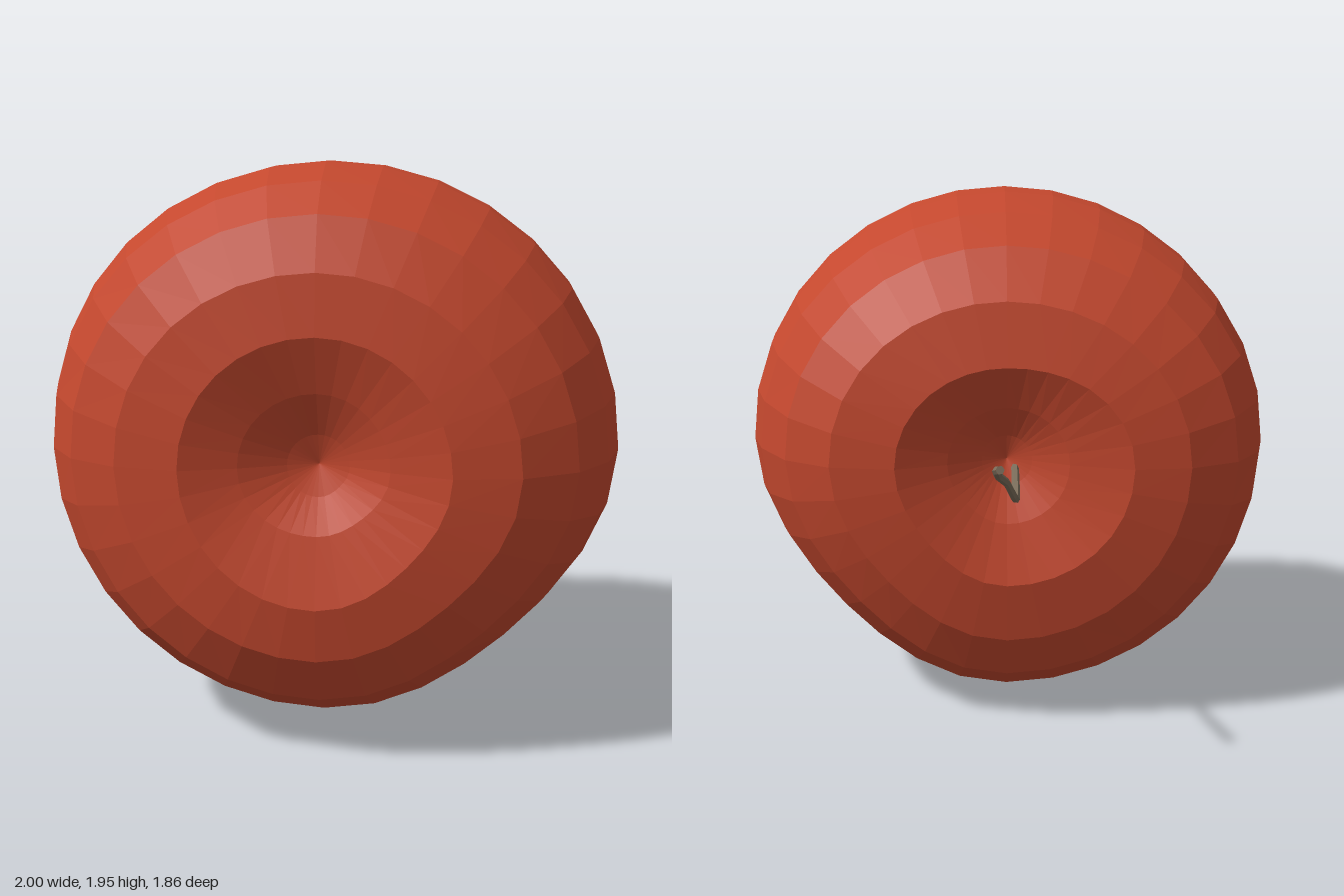
import * as THREE from 'three';

const SEGMENTS = 32;

// Rings from the front hollow to the back hollow:
// radius and z on the +x, top, -x and bottom meridians.
const RINGS = [
  [[0, 0.75], [0, 0.75], [0, 0.75], [0, 0.75]],
  [[0.1, 0.79], [0.1, 0.78], [0.1, 0.78], [0.1, 0.79]],
  [[0.23, 0.86], [0.24, 0.84], [0.25, 0.84], [0.21, 0.86]],
  [[0.42, 0.925], [0.42, 0.895], [0.43, 0.89], [0.43, 0.925]],
  [[0.63, 0.9], [0.61, 0.87], [0.64, 0.85], [0.61, 0.9]],
  [[0.81, 0.8], [0.78, 0.79], [0.81, 0.75], [0.79, 0.79]],
  [[0.92, 0.65], [0.88, 0.66], [0.92, 0.59], [0.9, 0.62]],
  [[0.98, 0.46], [0.94, 0.51], [0.98, 0.39], [0.97, 0.43]],
  [[0.995, 0.26], [0.95, 0.33], [1, 0.19], [0.998, 0.21]],
  [[0.97, 0.06], [0.93, 0.14], [0.98, -0.02], [0.98, 0.02]],
  [[0.91, -0.12], [0.86, -0.08], [0.93, -0.2], [0.93, -0.16]],
  [[0.79, -0.31], [0.75, -0.26], [0.82, -0.36], [0.82, -0.32]],
  [[0.62, -0.42], [0.57, -0.39], [0.64, -0.45], [0.65, -0.41]],
  [[0.39, -0.455], [0.35, -0.44], [0.44, -0.47], [0.43, -0.445]],
  [[0.21, -0.39], [0.2, -0.38], [0.22, -0.4], [0.22, -0.38]],
  [[0.09, -0.33], [0.09, -0.32], [0.09, -0.33], [0.09, -0.32]],
  [[0, -0.29], [0, -0.29], [0, -0.29], [0, -0.29]],
];

// Blend the four meridians smoothly around the fruit
function fruitGeometry() {
  const positions = [];
  const index = [];
  RINGS.forEach((ring, i) => {
    for (let j = 0; j < SEGMENTS; j++) {
      const angle = (j / SEGMENTS) * Math.PI * 2;
      const quarter = Math.floor((j * 4) / SEGMENTS);
      const w = Math.sin(angle - (quarter * Math.PI) / 2) ** 2;
      const [r0, z0] = ring[quarter];
      const [r1, z1] = ring[(quarter + 1) % 4];
      // slight flat on the lower +x side
      const flat = 1 - 0.06 * (quarter === 3 ? Math.sin(2 * angle) ** 2 : 0);
      const r = THREE.MathUtils.lerp(r0, r1, w) * flat;
      positions.push(r * Math.cos(angle), 1 + r * Math.sin(angle), THREE.MathUtils.lerp(z0, z1, w));

      if (i === RINGS.length - 1) continue;
      const next = (j + 1) % SEGMENTS;
      const a = i * SEGMENTS + j, b = i * SEGMENTS + next;
      const c = a + SEGMENTS, d = b + SEGMENTS;
      if (i < RINGS.length - 2) index.push(a, c, d);
      else index.push(a, c, b);
      if (i > 0 && i < RINGS.length - 2) index.push(a, d, b);
    }
  });
  const geometry = new THREE.BufferGeometry();
  geometry.setAttribute('position', new THREE.Float32BufferAttribute(positions, 3));
  geometry.setIndex(index);
  const faceted = geometry.toNonIndexed();
  faceted.computeVertexNormals();
  return faceted;
}

// Crooked stem: straight pieces joined at each bend, closed at the tip
function stemGeometry() {
  const points = [
    [-0.03, 0.98, -0.27], [-0.03, 0.93, -0.42], [-0.03, 0.9, -0.48], [-0.02, 0.935, -0.57],
    [0.005, 1.0, -0.63], [0.035, 1.045, -0.71], [0.04, 1.08, -0.79],
    [0.04, 1.1, -0.86], [0.03, 1.12, -0.93],
  ].map((p) => new THREE.Vector3(...p));
  const path = new THREE.CurvePath();
  for (let i = 1; i < points.length; i++) path.add(new THREE.LineCurve3(points[i - 1], points[i]));
  const tube = new THREE.TubeGeometry(path, 32, 0.014, 6, false);
  return { tube, tip: points.at(-1), direction: path.getTangent(1) };
}

export function createModel() {
  const model = new THREE.Group();
  model.name = 'apple';

  const red = new THREE.MeshStandardMaterial({ color: 0xc4482e, flatShading: true });
  red.name = 'apple red';
  const brown = new THREE.MeshStandardMaterial({ color: 0x7d6f5c, flatShading: true });
  brown.name = 'stem brown';

  const fruit = new THREE.Mesh(fruitGeometry(), red);
  fruit.name = 'fruit';

  const { tube, tip, direction } = stemGeometry();
  const stem = new THREE.Mesh(tube, brown);
  stem.name = 'stem';

  // Cap on the free end of the stem
  const cap = new THREE.Mesh(new THREE.CircleGeometry(0.014, 6), brown);
  cap.name = 'stemTip';
  cap.position.copy(tip);
  cap.quaternion.setFromUnitVectors(new THREE.Vector3(0, 0, 1), direction);

  model.add(fruit, stem, cap);
  return model;
}
